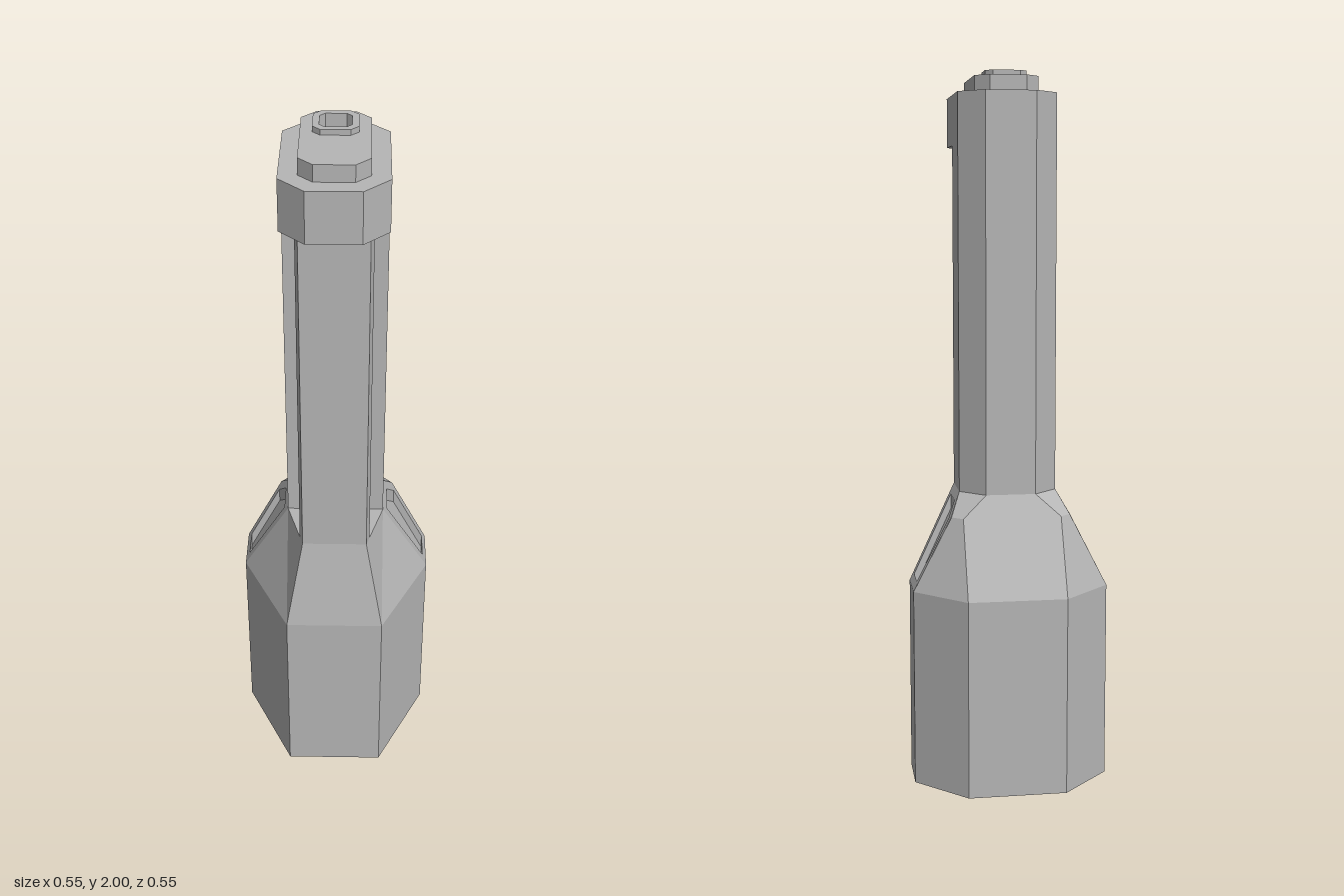
import * as THREE from 'three';

const grey = new THREE.MeshStandardMaterial({ color: 0xb6b6b6, flatShading: true, side: THREE.DoubleSide });
grey.name = 'grey metal';

// Mirror a half outline of [x, z] points (front to back) into a closed loop
const mirrored = half => [...half, ...half.map(([x, z]) => [-x, z]).reverse()];
const scaled = (loop, s) => loop.map(([x, z]) => [x * s, z * s]);
const at = (loop, y) => loop.map(([x, z]) => [x, y, z]);

const toShape = (loop, hole) => {
  const pts = l => l.map(([x, z]) => new THREE.Vector2(x, -z));
  const shape = new THREE.Shape(pts(loop));
  if (hole) shape.holes.push(new THREE.Path(pts(hole)));
  return shape;
};

// Upright prism between two heights
function prism(loop, y0, y1, hole) {
  const g = new THREE.ExtrudeGeometry(toShape(loop, hole), { depth: y1 - y0, bevelEnabled: false });
  return g.rotateX(-Math.PI / 2).translate(0, y0, 0);
}

// Flat plate at one height
function plate(loop, y, hole) {
  return new THREE.ShapeGeometry(toShape(loop, hole)).rotateX(-Math.PI / 2).translate(0, y, 0);
}

// Flat polygons, each fanned from its first corner
function polygons(list) {
  const pos = [];
  for (const p of list)
    for (let i = 1; i < p.length - 1; i++) pos.push(...p[0], ...p[i], ...p[i + 1]);
  const g = new THREE.BufferGeometry();
  g.setAttribute('position', new THREE.Float32BufferAttribute(pos, 3));
  g.computeVertexNormals();
  return g;
}

// Band of quads joining two loops of 3D points
function band(a, b) {
  return polygons(a.map((p, i) => {
    const j = (i + 1) % a.length;
    return [p, a[j], b[j], b[i]];
  }));
}

export function createModel() {
  const model = new THREE.Group();
  model.name = 'flashlight';
  const add = (name, geometry, mirror) => {
    const mesh = new THREE.Mesh(geometry, grey);
    mesh.name = name;
    model.add(mesh);
    if (mirror) {
      const twin = mesh.clone();
      twin.scale.x = -1;
      twin.name = name + 'Mirrored';
      model.add(twin);
    }
  };

  // Head: eight-sided wall, rim and tapered reflector
  const w = 0.138, r = 0.276, yHead = 0.56, yNeck = 0.83;
  const head = mirrored([[w, r], [r, 0], [r, -w], [w, -r]]);
  const lens = scaled(head, 0.75), bulb = scaled(head, 0.14);
  add('headWall', band(at(head, 0), at(head, yHead)));
  add('headRim', plate(head, 0, lens).scale(1, -1, 1));
  add('reflector', band(at(bulb, 0.23), at(lens, 0)));
  add('reflectorEnd', plate(bulb, 0.23));

  // Neck: tapers from the head to the handle
  const yCut = 0.77, c = 0.168;
  add('neckFront', polygons([[[-w, yHead, r], [w, yHead, r], [0.09, yNeck, 0.23], [-0.09, yNeck, 0.23]]]));
  add('neckBack', polygons([[[w, yHead, -r], [-w, yHead, -r], [-w, yCut, -c],
    [-0.07, yNeck, -w], [0.07, yNeck, -w], [w, yCut, -c]]]));
  add('neckCorners', polygons([
    [[w, yHead, r], [r, yHead, 0], [w, yNeck, 0.07], [0.09, yNeck, 0.23]],
    [[r, yHead, -w], [w, yHead, -r], [w, yCut, -c], [c, yCut, -w]],
    [[c, yCut, -w], [w, yCut, -c], [0.07, yNeck, -w], [w, yNeck, -0.07]],
  ]), true);
  add('neckTop', plate(mirrored([[0.09, 0.23], [w, 0.07], [w, -0.07], [0.07, -w]]), yNeck));

  // Neck sides with sunken pockets, drawn as [z, y] and laid on the slope
  const slopeX = y => r - (y - yHead) / (yNeck - yHead) * (r - w);
  const drop = 0.043;
  const layOnSlope = g => {
    const p = g.attributes.position;
    for (let i = 0; i < p.count; i++) p.setXYZ(i, slopeX(p.getY(i)), p.getY(i), -p.getX(i));
    g.computeVertexNormals();
    return g;
  };
  const vec = pts => pts.map(([z, y]) => new THREE.Vector2(-z, y));
  const pocket = [[-0.11, 0.583], [-0.022, 0.583], [0.033, 0.805], [-0.06, 0.805], [-0.11, 0.76]];
  const side = new THREE.Shape(vec([[0, yHead], [-w, yHead], [-w, yCut], [-0.07, yNeck], [0.07, yNeck]]));
  side.holes.push(new THREE.Path(vec(pocket)));
  add('neckSide', layOnSlope(new THREE.ShapeGeometry(side)), true);
  const floor = layOnSlope(new THREE.ShapeGeometry(new THREE.Shape(vec(pocket)))).translate(0, -drop, 0);
  add('pocketFloor', floor, true);
  const rim = pocket.map(([z, y]) => [slopeX(y), y, z]);
  add('pocketWall', band(rim, rim.map(([x, y, z]) => [x, y - drop, z])), true);

  // Handle with a slot along each side
  add('handle', prism(mirrored([[0.09, 0.23], [0.099, 0.2], [0.099, 0.07], [w, 0.07], [w, -0.07], [0.07, -w]]), yNeck, 1.8));

  // Cap, step and hollow button
  const octagon = (x, back, front, cut) =>
    mirrored([[x - cut, front], [x, front - cut], [x, back + cut], [x - cut, back]]);
  add('cap', prism(octagon(w, -w, r, 0.068), 1.8, 1.94));
  const button = octagon(0.058, -0.058, 0.058, 0.02), hole = octagon(0.041, -0.041, 0.041, 0.014);
  add('capStep', prism(octagon(0.089, -0.089, 0.227, 0.038), 1.94, 1.985, hole));
  add('button', prism(button, 1.985, 2, hole));
  return model;
}
